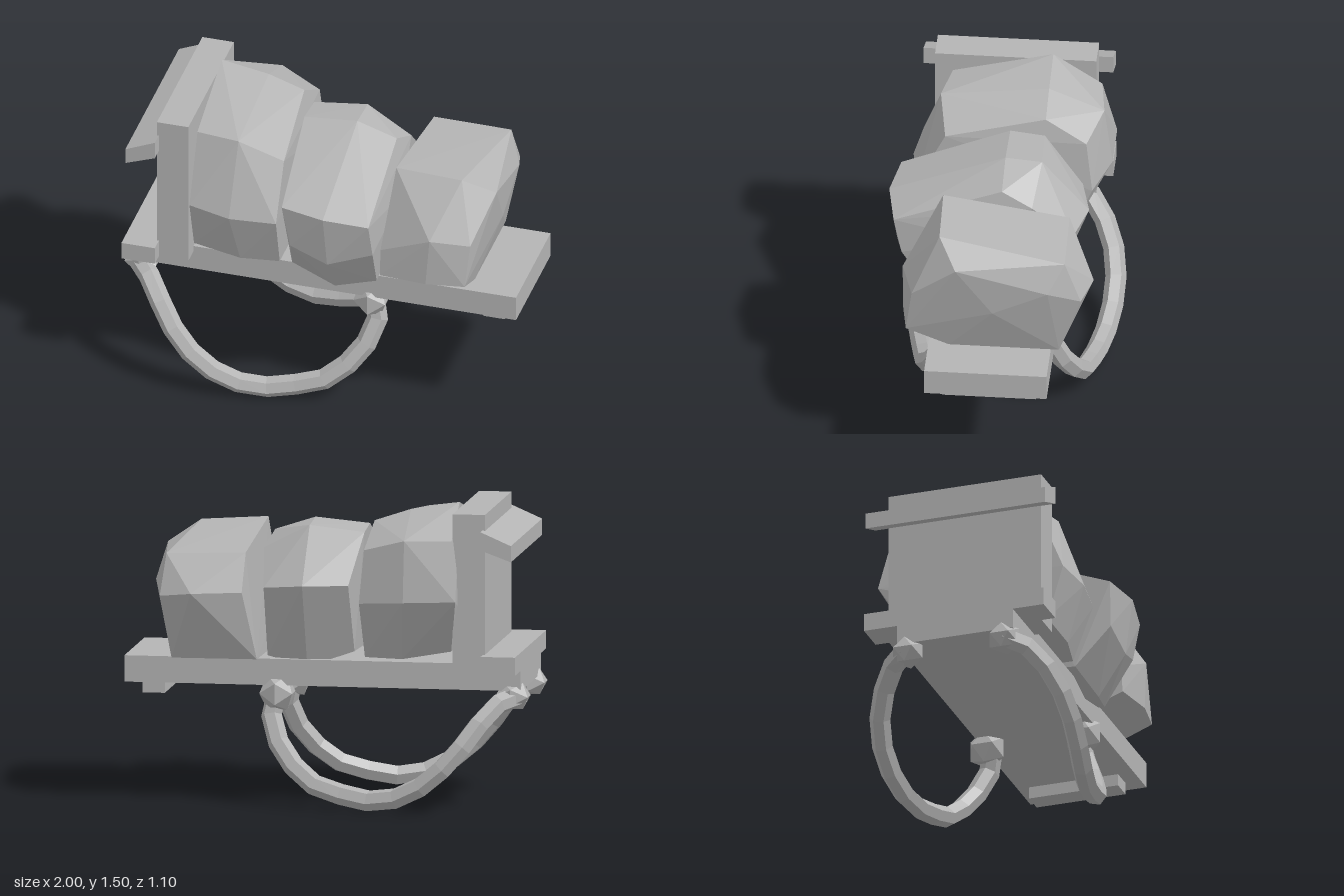
import * as THREE from 'three';
import { ConvexGeometry } from 'three/addons/geometries/ConvexGeometry.js';

export function createModel() {
  const group = new THREE.Group();
  const grey = new THREE.MeshStandardMaterial({ color: 0xb4b4b4 });
  grey.name = 'stone grey';

  const add = (name, geometry) => {
    const mesh = new THREE.Mesh(geometry, grey);
    mesh.name = name;
    group.add(mesh);
    return mesh;
  };
  const flat = (geometry) => {
    const g = geometry.index ? geometry.toNonIndexed() : geometry;
    g.computeVertexNormals();
    return g;
  };
  // Box given by its lower and upper corners
  const block = (name, [x0, y0, z0], [x1, y1, z1]) =>
    add(name, new THREE.BoxGeometry(x1 - x0, y1 - y0, z1 - z0))
      .position.set((x0 + x1) / 2, (y0 + y1) / 2, (z0 + z1) / 2);
  const boulder = (name, points) =>
    add(name, new ConvexGeometry(points.map((p) => new THREE.Vector3(...p))));

  // Wooden frame
  block('basePlank', [-0.96, 0.59, -0.3], [1.0, 0.72, 0.3]);
  block('endBoard', [-0.8, 0.69, -0.4], [-0.64, 1.47, 0.39]);
  block('lowerSlat', [-0.96, 0.69, -0.47], [-0.79, 0.78, 0.46]);
  block('undersideCleat', [0.81, 0.53, -0.24], [0.92, 0.59, 0.22]);

  // Slanted upper slat
  const slat = new THREE.Shape([[-0.94, 1.25], [-0.79, 1.305], [-0.79, 1.395], [-0.94, 1.33]]
    .map((p) => new THREE.Vector2(...p)));
  add('upperSlat', new THREE.ExtrudeGeometry(slat, { depth: 0.93, bevelEnabled: false }))
    .position.z = -0.47;

  // Three faceted boulders, each listed from the top round to the bottom
  boulder('rearBoulder', [
    [-0.64, 1.5, -0.19], [-0.4, 1.46, -0.19], [-0.22, 1.4, -0.19],
    [-0.62, 1.39, 0.3], [-0.4, 1.4, 0.34], [-0.18, 1.3, 0.3],
    [-0.62, 1.05, 0.44], [-0.41, 1.03, 0.475], [-0.18, 1.02, 0.44],
    [-0.62, 0.78, 0.36], [-0.38, 0.75, 0.38], [-0.19, 0.74, 0.34],
    [-0.64, 1.34, -0.43], [-0.41, 1.34, -0.46], [-0.2, 1.28, -0.39],
    [-0.67, 1.05, -0.5], [-0.41, 1.04, -0.5], [-0.18, 1.02, -0.42],
    [-0.62, 0.78, -0.32], [-0.38, 0.74, -0.34], [-0.19, 0.74, -0.3],
  ]);
  boulder('middleBoulder', [
    [-0.17, 1.36, -0.02], [0.1, 1.385, -0.02], [0.3, 1.32, -0.02],
    [-0.17, 1.34, -0.19], [0.1, 1.37, -0.2], [0.33, 1.25, -0.17],
    [-0.13, 1.17, 0.51], [0.09, 1.16, 0.55], [0.31, 1.13, 0.51],
    [-0.09, 0.95, 0.5], [0.1, 0.88, 0.51], [0.32, 0.95, 0.47],
    [-0.13, 0.74, 0.33], [0.1, 0.67, 0.37], [0.3, 0.71, 0.33],
    [-0.12, 1.1, -0.38], [0.1, 1.1, -0.43], [0.3, 1.08, -0.37],
    [-0.13, 0.76, -0.25], [0.1, 0.68, -0.27], [0.3, 0.73, -0.25],
    [0.35, 1.05, 0.05],
  ]);
  boulder('frontBoulder', [
    [0.38, 1.34, 0.26], [0.71, 1.32, 0.25], [0.86, 1.22, 0.16],
    [0.39, 1.25, -0.36], [0.78, 1.24, -0.37],
    [0.4, 1.06, -0.42], [0.64, 1.06, -0.5], [0.8, 1.04, -0.45], [0.845, 1.1, -0.29],
    [0.34, 0.94, 0.4], [0.6, 1.06, 0.44], [0.79, 1.03, 0.38],
    [0.34, 0.8, 0.41], [0.58, 0.81, 0.44], [0.77, 0.81, 0.41], [0.84, 0.97, -0.02],
    [0.33, 0.72, 0.22], [0.76, 0.72, 0.2],
    [0.34, 0.72, -0.33], [0.76, 0.72, -0.34],
  ]);

  // Looped runners splaying outwards, with a knot at each end
  const path = [
    [-0.95, 0.56, 0.24], [-0.84, 0.52, 0.36], [-0.72, 0.36, 0.46], [-0.6, 0.22, 0.49],
    [-0.44, 0.1, 0.475], [-0.27, 0.052, 0.44], [-0.1, 0.075, 0.41], [0.05, 0.12, 0.385],
    [0.17, 0.22, 0.34], [0.26, 0.36, 0.28], [0.28, 0.49, 0.23], [0.25, 0.57, 0.22],
  ];
  const knots = [
    { at: [-0.915, 0.56, 0.25], size: [0.095, 0.075, 0.09] },
    { at: [0.25, 0.55, 0.25], size: [0.095, 0.1, 0.1] },
  ];
  for (const [side, s] of [['left', 1], ['right', -1]]) {
    const curve = new THREE.CatmullRomCurve3(
      path.map(([x, y, z]) => new THREE.Vector3(x, y, s * z - 0.01)));
    add(side + 'Runner', flat(new THREE.TubeGeometry(curve, 13, 0.052, 6)));
    for (const { at, size } of knots) {
      const knot = flat(new THREE.IcosahedronGeometry(1, 0).scale(...size));
      add(side + 'Knot', knot).position.set(at[0], at[1], s * at[2] - 0.01);
    }
  }
  return group;
}
